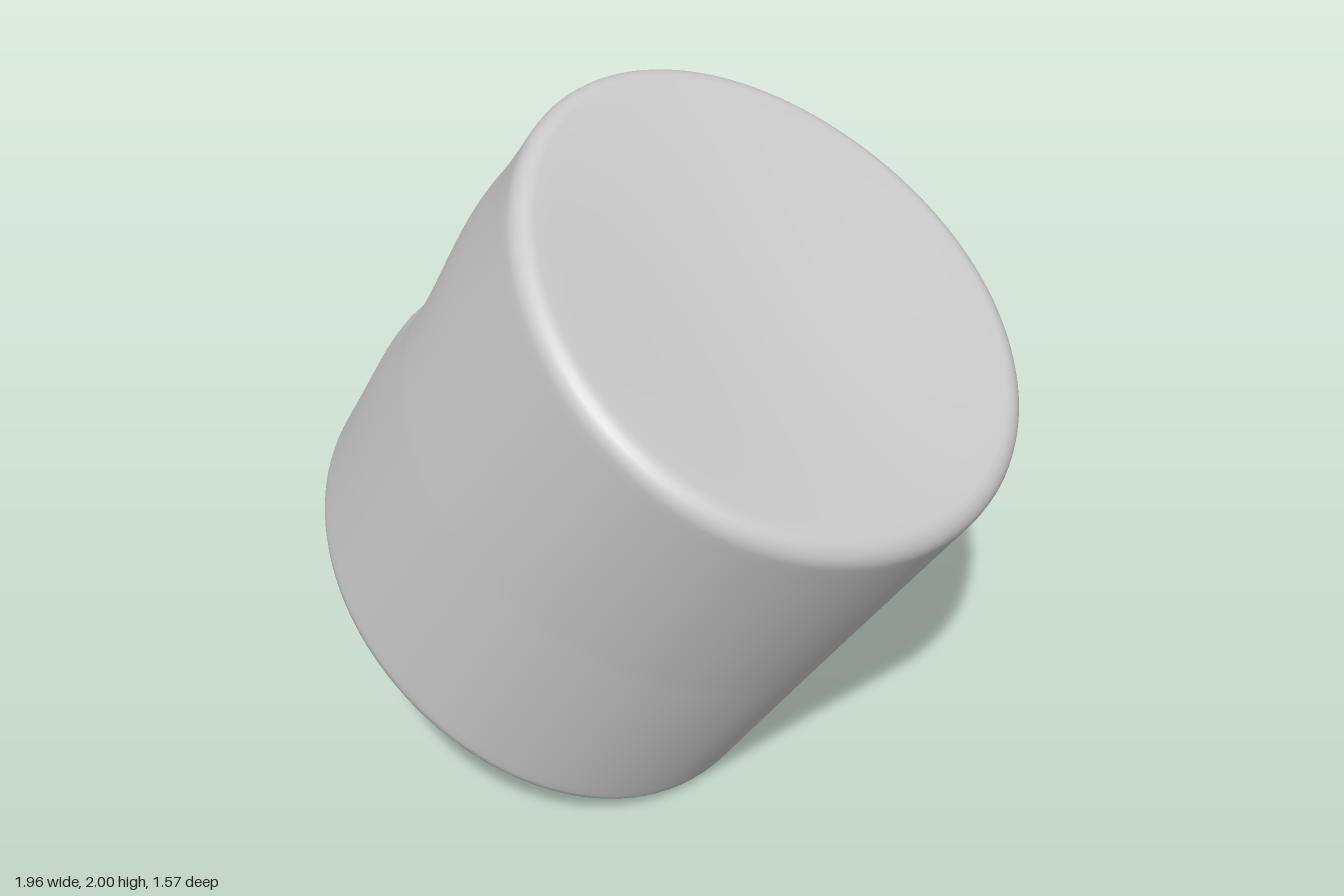
import * as THREE from 'three';
import { mergeVertices } from 'three/addons/utils/BufferGeometryUtils.js';

const R = 0.767, H = 0.694, ROUND = 0.06, DISH = 0.02;

// Profile from the bottom pole to the top pole: dished caps, rounded rims, straight wall
function profile() {
  const half = [];
  const wallSteps = 24, arcSteps = 6, capSteps = 14;
  for (let i = 1; i <= wallSteps; i++) half.push(new THREE.Vector2(R, (H - ROUND) * (i / wallSteps)));
  for (let i = 1; i <= arcSteps; i++) {
    const a = (i / arcSteps) * Math.PI / 2;
    half.push(new THREE.Vector2(R - ROUND + ROUND * Math.cos(a), H - ROUND + ROUND * Math.sin(a)));
  }
  for (let i = 1; i <= capSteps; i++) {
    const t = 1 - i / capSteps;
    half.push(new THREE.Vector2((R - ROUND) * t, H - DISH * (1 - t * t) ** 2));
  }
  const mirrored = half.map((p) => new THREE.Vector2(p.x, -p.y)).reverse();
  return [...mirrored, new THREE.Vector2(R, 0), ...half];
}

// Bell-shaped falloff around a point on the wall
const bell = (y, z, y0, sy, sz) => Math.exp(-(((y - y0) / sy) ** 2 + (z / sz) ** 2) / 2);

function softBody() {
  let geo = new THREE.LatheGeometry(profile(), 128);
  geo.deleteAttribute('uv');
  geo.deleteAttribute('normal');
  geo = mergeVertices(geo, 1e-4);
  const pos = geo.attributes.position;
  for (let i = 0; i < pos.count; i++) {
    let x = pos.getX(i);
    const y = pos.getY(i), z = pos.getZ(i);

    // Uneven roundness: the top swells to one diagonal, the bottom draws in
    const diagonal = -x * z / R ** 2, skew = diagonal * (x - z) / R;
    const top = Math.max(0, y / H), bottom = Math.max(0, -y / H);
    const swell = 1 + (0.05 * top * skew - bottom * (0.03 * skew + 0.04 * diagonal)) / R;

    // Pinched dent in the -x wall, with a slight swelling above and below it
    if (x < 0 && Math.hypot(x, z) > R - 0.05) {
      x += 0.165 * bell(y, z, 0, 0.11, 0.17);
      x -= 0.025 * bell(y, z, 0.28, 0.11, 0.25) + 0.018 * bell(y, z, -0.3, 0.14, 0.25);
    }

    // Slanted caps, top rim lifted front and back, and a slight lean of the wall
    const lift = 0.035 * top * (z / R) ** 2;
    pos.setXYZ(i, x * swell - 0.044 * y, y + 0.063 * z + lift, z * swell * 1.005 - 0.02 * y);
  }
  geo.computeVertexNormals();
  return geo;
}

export function createModel() {
  const group = new THREE.Group();
  const body = new THREE.Mesh(softBody(), new THREE.MeshStandardMaterial({ color: 0xcccccc }));
  body.name = 'softCylinder';
  body.rotation.z = -0.61;
  group.add(body);

  // Centre and stand on the ground
  const box = new THREE.Box3().setFromObject(group, true);
  const centre = box.getCenter(new THREE.Vector3());
  body.position.set(-centre.x, -box.min.y, -centre.z);
  return group;
}
